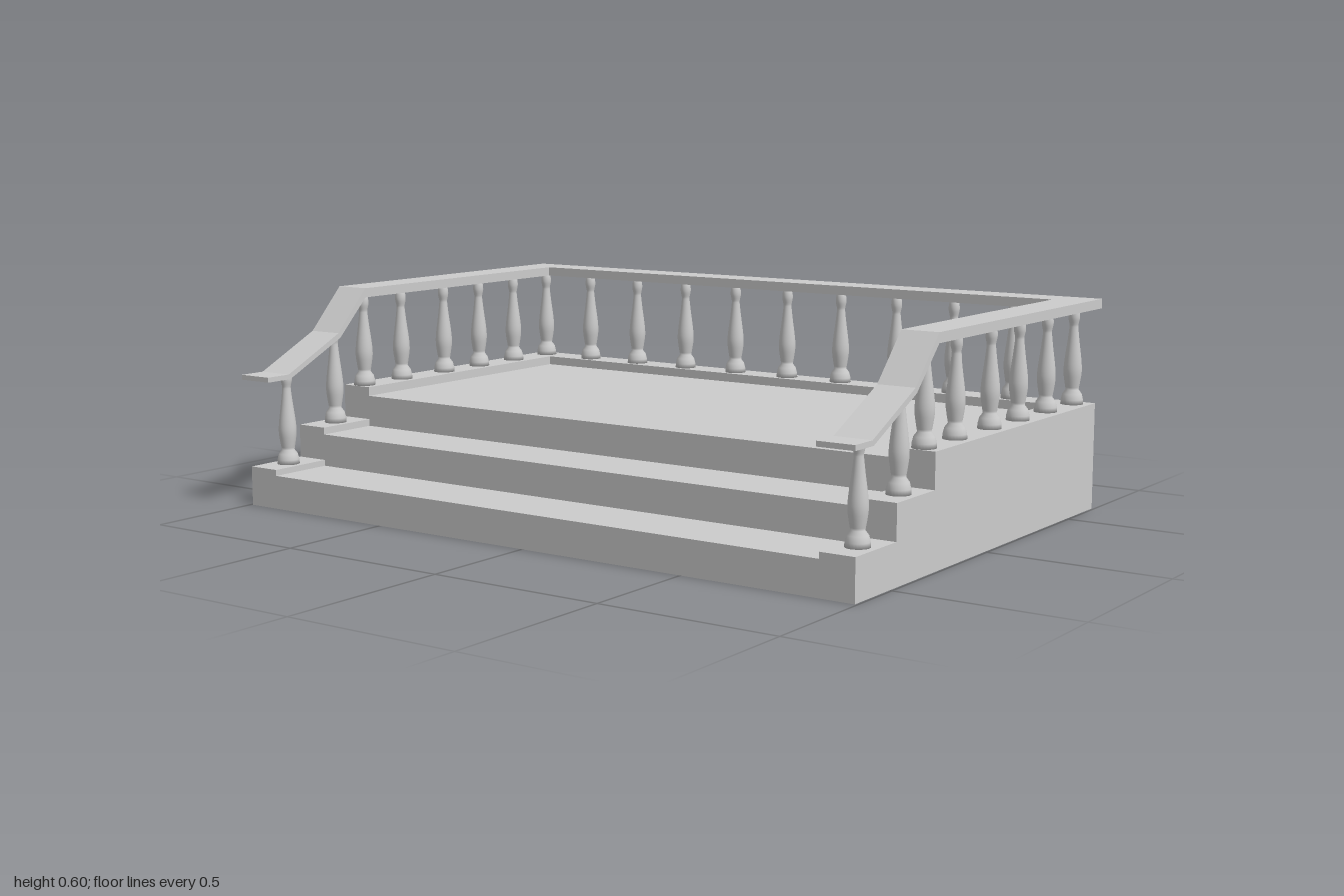
import * as THREE from 'three';

const material = new THREE.MeshStandardMaterial({ color: 0xcccccc });

export function createModel() {
  const model = new THREE.Group();
  model.name = 'steppedTerrace';

  const add = (name, geometry, x = 0, y = 0, z = 0) => {
    const mesh = new THREE.Mesh(geometry, material);
    mesh.name = name;
    mesh.position.set(x, y, z);
    model.add(mesh);
    return mesh;
  };

  // Side outline given as (z, y) points, extruded across x and centred
  const extrudeAcross = (points, width) => {
    const shape = new THREE.Shape(points.map(([z, y]) => new THREE.Vector2(z, y)));
    return new THREE.ExtrudeGeometry(shape, { depth: width, bevelEnabled: false })
      .translate(0, 0, -width / 2)
      .rotateY(-Math.PI / 2);
  };

  // Stepped outline with three tread heights
  const stepped = (back, h1, h2, h3) => [
    [back, 0], [0.663, 0], [0.663, h1], [0.469, h1],
    [0.469, h2], [0.279, h2], [0.279, h3], [back, h3],
  ];

  // Floor with two steps, framed by slightly raised curbs
  add('floorAndSteps', extrudeAcross(stepped(-0.583, 0.095, 0.187, 0.277), 1.79));
  const curb = extrudeAcross(stepped(-0.673, 0.112, 0.207, 0.303), 0.098);
  add('backCurb', new THREE.BoxGeometry(1.79, 0.303, 0.09), 0, 0.1515, -0.628);

  // Handrails: level along the terrace, sloping down beside the steps
  const handrail = extrudeAcross([
    [0.683, 0.364], [0.683, 0.378], [0.603, 0.378], [0.4, 0.476], [0.284, 0.598],
    [-0.683, 0.598], [-0.683, 0.571], [0.284, 0.571], [0.393, 0.462], [0.598, 0.364],
  ], 0.105);
  add('backHandrail', new THREE.BoxGeometry(1.79, 0.027, 0.1), 0, 0.5845, -0.633);

  // Turned baluster profile (radius, height)
  const balusterHeight = 0.272;
  const bell = [[0, 0], [0.032, 0], [0.031, 0.014], [0.027, 0.03], [0.018, 0.042]];
  const body = new THREE.SplineCurve([
    [0.018, 0.042], [0.022, 0.065], [0.0255, 0.095], [0.023, 0.13], [0.017, 0.175],
    [0.0125, 0.215], [0.0125, 0.226], [0.016, 0.243], [0.015, 0.26], [0.011, balusterHeight],
  ].map(([r, y]) => new THREE.Vector2(r, y))).getPoints(24);
  const profile = [...bell.slice(0, 4).map(([r, y]) => new THREE.Vector2(r, y)), ...body];
  const baluster = new THREE.LatheGeometry(profile, 24);

  for (const [side, s] of [['left', 1], ['right', -1]]) {
    add(side + 'Curb', curb, s * 0.944);
    add(side + 'Handrail', handrail, s * 0.9475);

    // Balusters along the level part
    for (const z of [0.245, 0.082, -0.113, -0.281, -0.454, -0.627]) {
      add(side + 'Baluster', baluster, s * 0.943, 0.302, z);
    }
    // Balusters on the steps
    add(side + 'StepBaluster', baluster, s * 0.943, 0.111, 0.567);
    add(side + 'StepBaluster', baluster, s * 0.943, 0.206, 0.372).scale.y = 0.287 / balusterHeight;
  }

  // Balusters along the back
  for (let i = -4; i <= 4; i++) add('backBaluster', baluster, i * 0.1895, 0.302, -0.627);

  return model;
}
